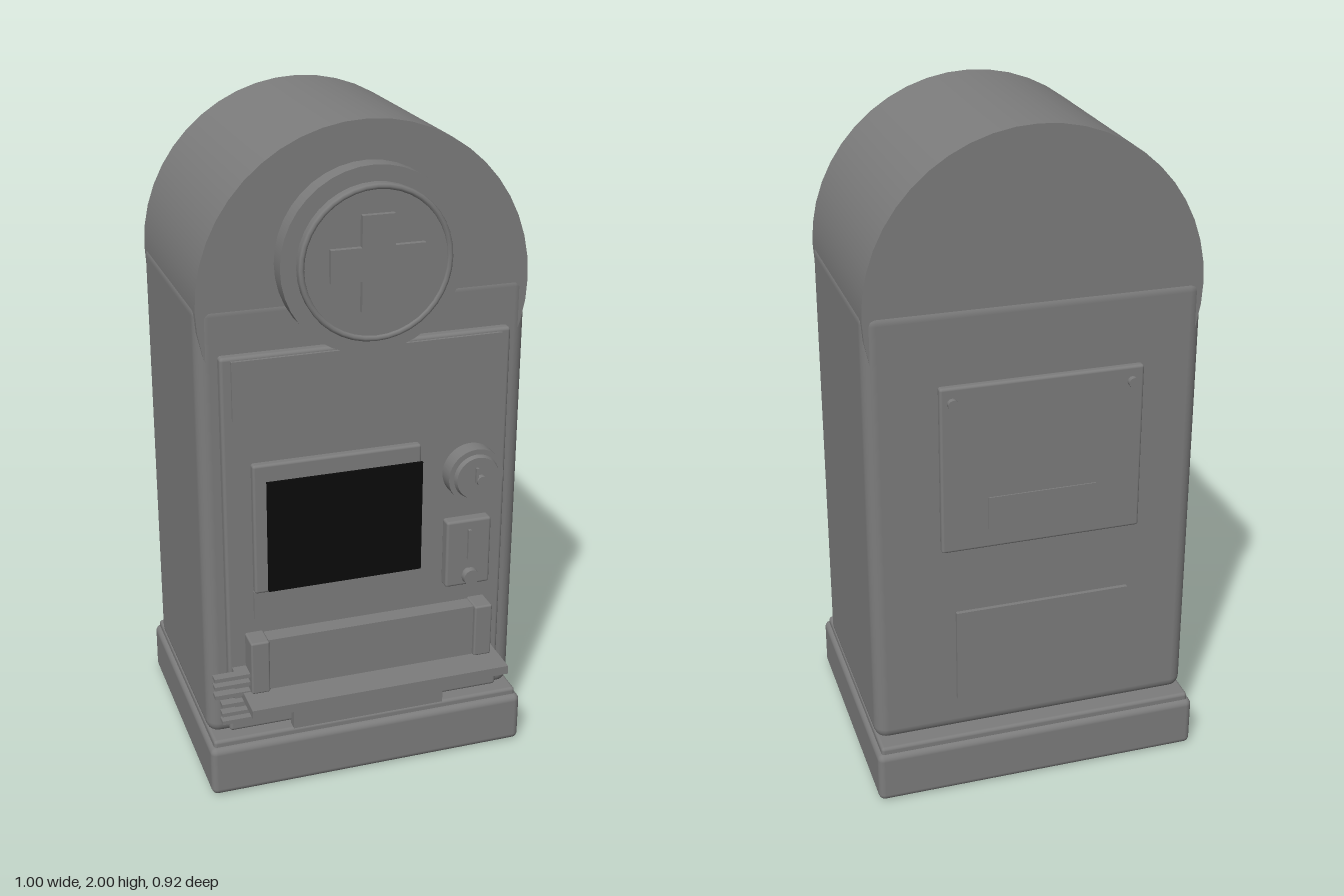
import * as THREE from 'three';
import { RoundedBoxGeometry } from 'three/addons/geometries/RoundedBoxGeometry.js';

const shell = new THREE.MeshStandardMaterial({ color: 0x7c7c7c });
shell.name = 'grey shell';
const glass = new THREE.MeshStandardMaterial({ color: 0x0a0a0a });
glass.name = 'black glass';

export function createModel() {
  const model = new THREE.Group();
  model.name = 'dispenser';

  const add = (name, geometry, x, y, z, material = shell) => {
    const mesh = new THREE.Mesh(geometry, material);
    mesh.name = name;
    mesh.position.set(x, y, z);
    model.add(mesh);
    return mesh;
  };
  // Box given by its extents; r rounds the edges
  const box = (name, x0, x1, y0, y1, z0, z1, r = 0, material = shell) => {
    const w = x1 - x0, h = y1 - y0, d = z1 - z0;
    const geometry = r ? new RoundedBoxGeometry(w, h, d, 3, r) : new THREE.BoxGeometry(w, h, d);
    return add(name, geometry, (x0 + x1) / 2, (y0 + y1) / 2, (z0 + z1) / 2, material);
  };
  // Disc with its axis along z
  const disc = (name, x, y, z0, z1, r, rFront = r, segments = 40) => {
    const geometry = new THREE.CylinderGeometry(rFront, r, z1 - z0, segments).rotateX(Math.PI / 2);
    return add(name, geometry, x, y, (z0 + z1) / 2);
  };

  // Cabinet
  box('base', -0.5, 0.5, 0, 0.16, -0.45, 0.35, 0.02);
  box('plinth', -0.487, 0.487, 0.15, 0.18, -0.437, 0.333, 0.01);
  box('cabinet', -0.49, 0.49, 0.165, 1.53, -0.385, 0.28, 0.04);
  disc('archedTop', 0, 1.513, -0.38, 0.278, 0.487, 0.487, 48);

  // Front door and header
  box('frontDoor', -0.43, 0.43, 0.19, 1.38, 0.27, 0.307, 0.01);
  box('header', -0.4, 0.4, 1.195, 1.37, 0.3, 0.316);

  // Round emblem with cross
  disc('emblemBacking', 0, 1.625, 0.27, 0.337, 0.265);
  disc('emblemDisc', 0, 1.625, 0.33, 0.362, 0.22);
  add('emblemRim', new THREE.TorusGeometry(0.213, 0.009, 8, 40), 0, 1.625, 0.36);
  const a = 0.047, b = 0.135;
  const cross = new THREE.Shape([
    [a, a], [a, b], [-a, b], [-a, a], [-b, a], [-b, -a],
    [-a, -a], [-a, -b], [a, -b], [a, -a], [b, -a], [b, a],
  ].map(([x, y]) => new THREE.Vector2(x, y)));
  add('cross', new THREE.ExtrudeGeometry(cross, { depth: 0.022, bevelEnabled: false }), 0, 1.63, 0.357);

  // Display window with the goods behind it
  box('windowFrame', -0.35, 0.155, 0.655, 1.06, 0.3, 0.33, 0.008);
  box('windowGlass', -0.33, 0.13, 0.7, 1.04, 0.398, 0.406, 0, glass);
  for (const x of [-0.235, -0.095, 0.055]) {
    add('bottle', new THREE.CylinderGeometry(0.033, 0.033, 0.2, 20), x, 0.79, 0.335);
  }
  box('labelStrip', -0.35, 0.09, 0.565, 0.655, 0.3, 0.316);

  // Dial
  disc('dial', 0.31, 0.955, 0.32, 0.372, 0.085);
  disc('dialFace', 0.31, 0.955, 0.37, 0.387, 0.07, 0.065);
  box('dialPointer', 0.3, 0.308, 0.945, 0.99, 0.385, 0.397);
  disc('dialHub', 0.318, 0.95, 0.385, 0.403, 0.016, 0.016, 20);

  // Coin plate
  box('coinPlate', 0.225, 0.365, 0.6, 0.815, 0.33, 0.37, 0.008);
  box('coinSlot', 0.29, 0.3, 0.69, 0.785, 0.365, 0.38);
  disc('coinButtonStem', 0.295, 0.64, 0.365, 0.385, 0.018, 0.018, 20);
  disc('coinButton', 0.295, 0.64, 0.385, 0.403, 0.026, 0.024, 20);

  // Delivery tray
  box('trayBack', -0.33, 0.33, 0.35, 0.515, 0.3, 0.36);
  for (const s of [-1, 1]) {
    box('trayPost', s * 0.35 - 0.028, s * 0.35 + 0.028, 0.35, 0.52, 0.3, 0.376, 0.006);
  }
  box('trayShelf', -0.4, 0.4, 0.323, 0.35, 0.305, 0.46);
  box('lowerFlap', -0.24, 0.24, 0.18, 0.285, 0.3, 0.335);

  // Side grille in front of the lower corner
  [0.405, 0.378, 0.348, 0.315, 0.285, 0.258].forEach((y, i) => {
    const shift = i < 3 ? 0 : 0.02;
    box('grilleSlat', -0.485 + shift, -0.33 + shift, y - 0.006, y + 0.006, 0.33, 0.358);
  });
  box('grilleMount', -0.42, -0.36, 0.252, 0.411, 0.3, 0.335);

  // Rear service panel
  box('servicePanel', -0.295, 0.295, 0.81, 1.315, -0.443, -0.417, 0.008);
  box('servicePlate', -0.16, 0.16, 0.87, 0.97, -0.447, -0.44);
  for (const s of [-1, 1]) disc('screw', s * 0.26, 1.27, -0.458, -0.44, 0.015, 0.015, 16);

  // Rear vent
  box('ventPlate', -0.26, 0.26, 0.33, 0.62, -0.462, -0.45);
  for (let i = 0; i < 8; i++) {
    const y = 0.36 + i * 0.033;
    box('ventSlat', -0.24, 0.24, y - 0.006, y + 0.006, -0.45, -0.423);
  }
  return model;
}
